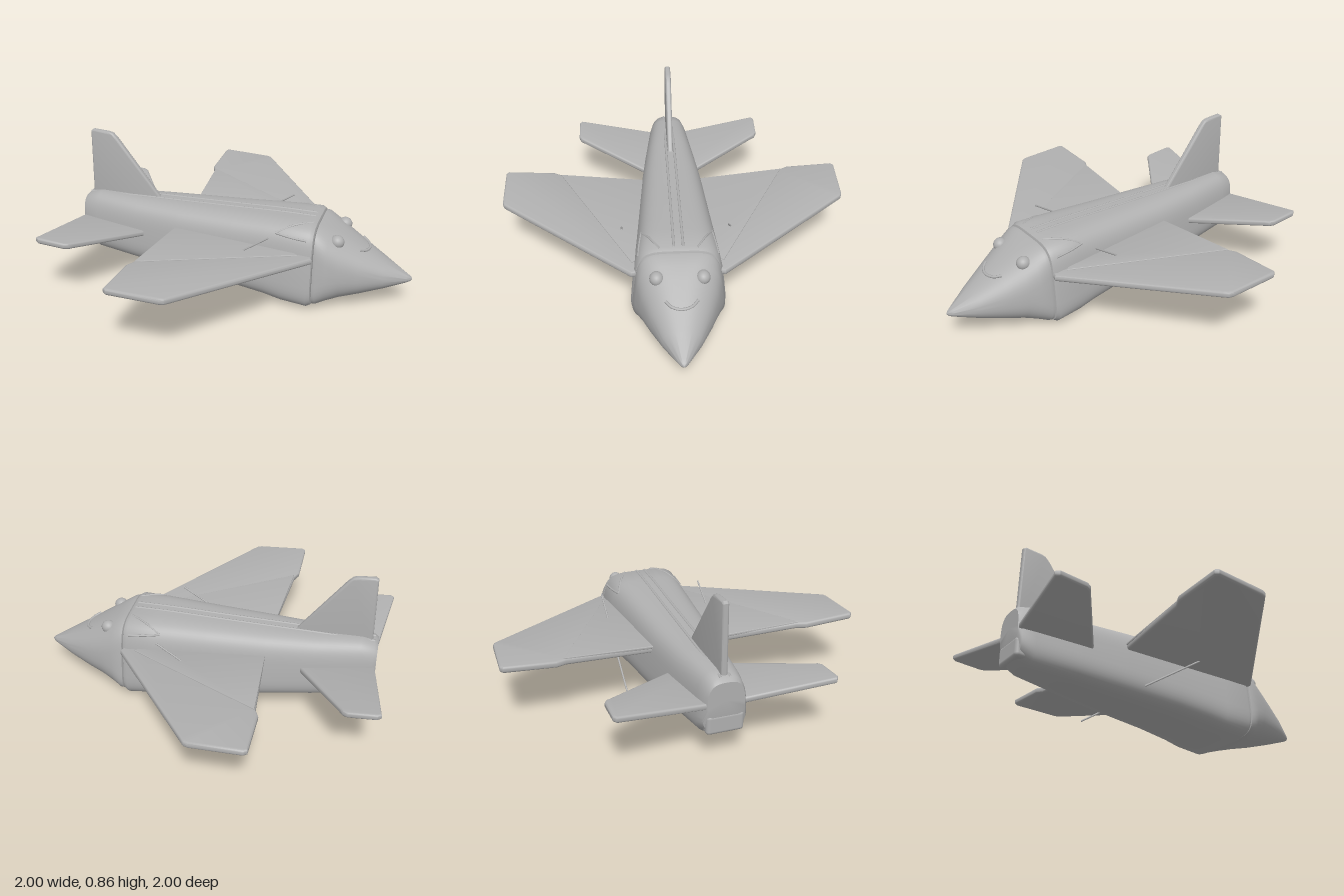
import * as THREE from 'three';
import { toCreasedNormals } from 'three/addons/utils/BufferGeometryUtils.js';
import { RoundedBoxGeometry } from 'three/addons/geometries/RoundedBoxGeometry.js';

// Hull stations: x, bottom, top, half width, squareness, upward taper
const BODY = [
  [-0.94, 0.26, 0.455, 0.105, 3, 0.15],
  [-0.92, 0.17, 0.475, 0.125, 3, 0.2],
  [-0.85, 0.135, 0.487, 0.14, 3.2, 0.2],
  [-0.6, 0.11, 0.482, 0.178, 3.4, 0.2],
  [-0.33, 0.083, 0.485, 0.212, 3.6, 0.2],
  [0, 0.055, 0.49, 0.24, 3.8, 0.2],
  [0.2, 0.03, 0.495, 0.258, 4, 0.2],
  [0.3, 0.012, 0.495, 0.268, 4.2, 0.2],
  [0.45, 0.003, 0.493, 0.278, 4.5, 0.2],
  [0.472, 0.015, 0.482, 0.268, 4.5, 0.2],
  [0.478, 0.03, 0.465, 0.25, 4.5, 0.2],
];
const NOSE = [
  [0.475, 0.035, 0.46, 0.25, 4.5, 0.2],
  [0.482, 0.022, 0.475, 0.268, 4.5, 0.2],
  [0.5, 0.022, 0.472, 0.272, 4.2, 0.2],
  [0.55, 0.032, 0.45, 0.255, 3.2, 0.16],
  [0.62, 0.047, 0.412, 0.225, 2.6, 0.12],
  [0.72, 0.07, 0.35, 0.178, 2.4, 0.1],
  [0.85, 0.108, 0.27, 0.108, 2.2, 0.05],
  [0.97, 0.148, 0.198, 0.03, 2, 0],
  [0.99, 0.157, 0.187, 0.015, 2, 0],
  [1.0, 0.168, 0.176, 0.003, 2, 0],
];

function sectionPoint([x, b, t, w, n, taper], a) {
  const pow = v => Math.sign(v) * Math.abs(v) ** (2 / n);
  const v = pow(Math.sin(a));
  return [x, (b + t) / 2 + (t - b) / 2 * v, w * pow(Math.cos(a)) * (1 - taper * (v + 1) / 2)];
}

// Closed hull through a list of stations
function loft(stations, sides = 56) {
  const pos = [], idx = [], last = stations.length - 1;
  stations.forEach((s, i) => {
    for (let j = 0; j < sides; j++) {
      pos.push(...sectionPoint(s, j / sides * Math.PI * 2));
      const a = i * sides + j, b = i * sides + (j + 1) % sides;
      if (i < last) idx.push(a, a + sides, b, b, a + sides, b + sides);
    }
  });
  const c = pos.length / 3;
  for (const s of [stations[0], stations[last]]) pos.push(s[0], (s[1] + s[2]) / 2, 0);
  for (let j = 0; j < sides; j++) {
    const k = (j + 1) % sides, e = last * sides;
    idx.push(c, j, k, c + 1, e + k, e + j);
  }
  const g = new THREE.BufferGeometry();
  g.setAttribute('position', new THREE.Float32BufferAttribute(pos, 3));
  g.setIndex(idx);
  return toCreasedNormals(g, 0.7);
}

// Height of a hull's upper skin at x, z
function skinY(stations, x, z) {
  const i = Math.max(1, stations.findIndex(s => s[0] >= x));
  const p = stations[i - 1], q = stations[i], k = (x - p[0]) / (q[0] - p[0]);
  const s = p.map((v, m) => v + (q[m] - v) * k);
  let lo = 0, hi = Math.PI / 2;
  for (let n = 0; n < 30; n++) {
    const m = (lo + hi) / 2;
    if (sectionPoint(s, m)[2] > Math.abs(z)) lo = m; else hi = m;
  }
  return sectionPoint(s, lo)[1];
}

// Bevelled slab from an outline
function slab(points, thickness, bevel) {
  const shape = new THREE.Shape(points.map(p => new THREE.Vector2(...p)));
  const depth = thickness - 2 * bevel;
  const g = new THREE.ExtrudeGeometry(shape, {
    depth, bevelEnabled: true, bevelThickness: bevel, bevelSize: bevel, bevelOffset: -bevel, bevelSegments: 3,
  });
  return g.translate(0, 0, -depth / 2);
}

// Horizontal surface on one side, its height given by a rule
function surface(points, side, thickness, bevel, rule) {
  const g = slab(points.map(([x, z]) => [x, z * side]), thickness, bevel).rotateX(Math.PI / 2);
  const p = g.attributes.position;
  for (let i = 0; i < p.count; i++) p.setY(i, p.getY(i) + rule(p.getX(i), Math.abs(p.getZ(i))));
  return toCreasedNormals(g, 0.6);
}

function tube(points, radius) {
  const curve = new THREE.CatmullRomCurve3(points.map(p => new THREE.Vector3(...p)));
  return new THREE.TubeGeometry(curve, 24, radius, 8);
}

export function createModel() {
  const model = new THREE.Group();
  const grey = new THREE.MeshStandardMaterial({ color: 0xb0b0b0 });
  grey.name = 'plain grey';
  const add = (name, geometry) => {
    const m = new THREE.Mesh(geometry, grey);
    m.name = name;
    model.add(m);
    return m;
  };

  // Fuselage, nose and tail end
  add('fuselage', loft(BODY));
  add('noseCone', loft(NOSE));
  add('tailBlock', new RoundedBoxGeometry(0.16, 0.11, 0.2, 3, 0.02)).position.set(-0.862, 0.225, 0);

  // Upright fin and the folded spine ahead of it
  add('tailFin', toCreasedNormals(slab([
    [-0.47, 0.46], [-0.74, 0.82], [-0.765, 0.845], [-0.79, 0.853],
    [-0.885, 0.86], [-0.9, 0.85], [-0.91, 0.4], [-0.47, 0.4],
  ], 0.034, 0.011), 0.6));
  for (const s of [1, -1]) {
    const ridge = [-0.92, -0.6, -0.3, 0, 0.25, 0.45].map(x => [x, skinY(BODY, x, 0.025) - 0.002, s * 0.025]);
    add('spineFold', tube(ridge, 0.008));
  }

  const wingY = (x, z) => 0.3335 - 0.044 * x + 0.06 * z;
  const stabY = (x, z) => 0.245 - 0.083 * x + 0.117 * z;
  for (const s of [1, -1]) {
    // Main wing with its folded inner panel
    add('wing', surface([
      [0.48, 0.255], [-0.06, 0.96], [-0.08, 0.985], [-0.105, 0.993], [-0.38, 1], [-0.398, 0.985],
      [-0.398, 0.71], [-0.375, 0.66], [-0.33, 0.12], [0.44, 0.12],
    ], s, 0.036, 0.012, wingY));
    add('wingFold', surface([
      [0.4, 0.25], [-0.37, 0.67], [-0.335, 0.15], [0.3, 0.15],
    ], s, 0.016, 0.004, (x, z) => wingY(x, z) + 0.015));

    // Tailplane
    add('tailplane', surface([
      [-0.53, 0.16], [-0.79, 0.54], [-0.805, 0.565], [-0.83, 0.578], [-0.98, 0.58], [-1, 0.565],
      [-0.935, 0.09], [-0.56, 0.06],
    ], s, 0.034, 0.011, stabY));

    // Slanted stick beside the body
    add('sideStick', tube([[-0.31, 0.09, s * 0.312], [-0.03, 0.275, s * 0.308], [0.25, 0.46, s * 0.302]], 0.005));

    // Shoulder creases behind the nose
    const crease = pts => tube(pts.map(([x, z]) => [x, skinY(BODY, x, z), s * z]), 0.006);
    add('shoulderFold', crease([[0.26, 0.195], [0.36, 0.15], [0.455, 0.1]]));
    add('shoulderFold', crease([[0.26, 0.195], [0.35, 0.208], [0.44, 0.216]]));

    // Eye
    const eye = add('eye', new THREE.SphereGeometry(0.04, 24, 16));
    eye.position.set(0.59, skinY(NOSE, 0.59, 0.122) - 0.012, s * 0.122);
    eye.scale.set(1, 0.95, 0.95);
  }

  // Smile
  add('smile', tube([
    [0.705, -0.09], [0.74, -0.055], [0.755, 0], [0.74, 0.05], [0.71, 0.08],
  ].map(([x, z]) => [x, skinY(NOSE, x, z) + 0.002, z]), 0.008));

  return model;
}
